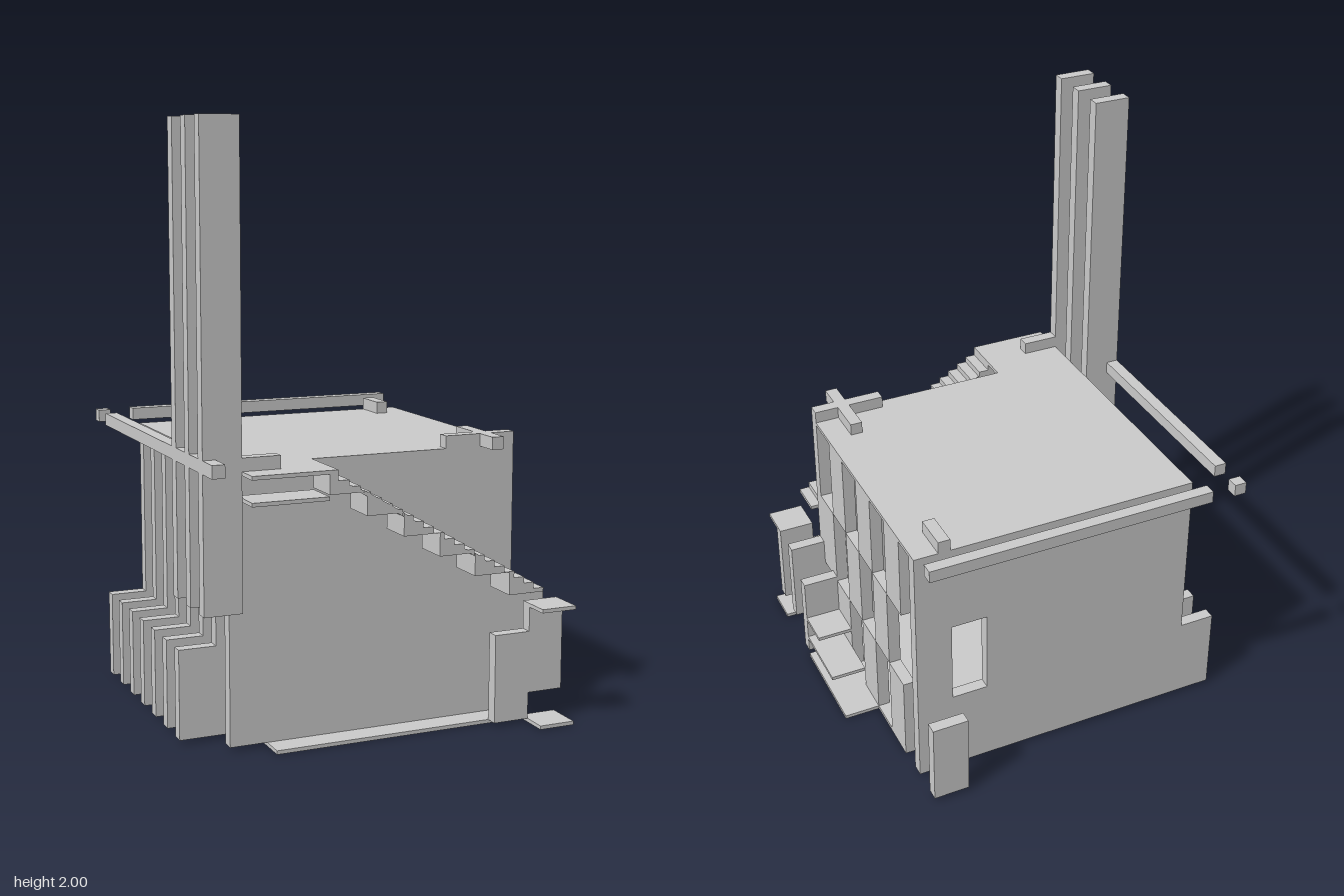
import * as THREE from 'three';

const M = 0.127;      // planning module
const T = 0.0423;     // wall thickness
const S = 0.0127;     // slab thickness
const ROOF = 0.917;   // underside of roof slab
const ROW = (ROOF - S) / 3;

export function createModel() {
  const group = new THREE.Group();
  const mat = new THREE.MeshStandardMaterial({ color: 0xcccccc, flatShading: true });

  // axis-aligned block given by its limits
  const block = (name, x0, x1, y0, y1, z0, z1) => {
    const mesh = new THREE.Mesh(new THREE.BoxGeometry(x1 - x0, y1 - y0, z1 - z0), mat);
    mesh.position.set((x0 + x1) / 2, (y0 + y1) / 2, (z0 + z1) / 2);
    mesh.name = name;
    group.add(mesh);
  };

  // outline in x/y pushed along z
  const extrude = (name, points, z0, z1, hole) => {
    const toV = (p) => new THREE.Vector2(p[0], p[1]);
    const shape = new THREE.Shape(points.map(toV));
    if (hole) shape.holes.push(new THREE.Path(hole.map(toV)));
    const geo = new THREE.ExtrudeGeometry(shape, { depth: z1 - z0, bevelEnabled: false });
    geo.translate(0, 0, z0);
    const mesh = new THREE.Mesh(geo, mat);
    mesh.name = name;
    group.add(mesh);
  };

  // floor and roof slabs
  block('floorSlab', -3 * M, 4 * M, 0, S, -3 * M, 4 * M);
  block('cornerPaving', 4 * M, 5 * M, 0, S, 4 * M, 5 * M);
  block('entrancePaving', 4 * M, 5 * M, 0, S, -M, 2 * M);
  block('roofSlab', -4 * M, 4 * M, ROOF, ROOF + S, -4 * M, 3 * M + T);

  // front wall, and back wall with a slot window and a low extension
  block('frontWall', -4 * M, 4 * M, S, ROOF, 3 * M, 3 * M + T);
  extrude('backWall', [
    [-5 * M, S], [4 * M, S], [4 * M, ROOF], [-4 * M, ROOF], [-4 * M, S + ROW], [-5 * M, S + ROW],
  ], -4 * M, -4 * M + T, [
    [2 * M, S + ROW], [2 * M, S + 2 * ROW], [3 * M, S + 2 * ROW], [3 * M, S + ROW],
  ]);
  block('backScreen', 3 * M, 4 * M, S, S + ROW, -5 * M, -5 * M + T);

  // stepped fins along the left-hand side of the plan
  for (let i = -3; i <= 2; i++) {
    extrude('sideFin', [
      [-5 * M, S], [-3 * M, S], [-3 * M, ROOF], [-4 * M, ROOF], [-4 * M, S + ROW], [-5 * M, S + ROW],
    ], i * M, i * M + T);
  }

  // three tall tower blades
  for (let i = 2; i <= 4; i++) block('towerBlade', -5 * M, -4 * M, 0.485, 2, i * M, i * M + T);

  // staggered screen panels on the opposite side
  for (let row = 0; row < 3; row++) {
    for (let k = 0; k < 3; k++) {
      const z = (1 - 2 * k + (row % 2)) * M;
      block('screenPanel', 4 * M - T, 4 * M, S + row * ROW, S + (row + 1) * ROW, z, z + M);
    }
  }

  // entrance steps and their screens
  block('lowerStep', 4 * M, 5 * M, 0.08, 0.08 + S, 0, 2 * M);
  block('upperStep', 4 * M, 5 * M, 0.168, 0.168 + S, M, 2 * M);
  block('stepScreen', 4 * M, 5 * M, 0.028, 0.332, 2 * M, 2 * M + T);
  block('porchScreen', 4 * M, 5 * M, 0.103, 0.408, 3 * M, 3 * M + T);
  block('porchScreen', 4 * M, 5 * M, 0.103, 0.397, 4 * M, 4 * M + T);
  block('frontScreen', 3 * M, 4 * M, S, S + ROW, 4 * M, 4 * M + T);
  block('porchRoof', 4 * M, 5 * M, 0.397, 0.397 + S, 4 * M, 5 * M);

  // front staircase: fine treads above, coarse stepped soffit below
  const steps = 20, x0 = -0.225, run = (4 * M - x0) / steps, rise = 0.0216;
  const outline = [[-2 * M, 0.853], [-2 * M, ROOF]];
  for (let i = 0; i < steps; i++) {
    const y = ROOF - i * rise;
    outline.push([x0 + i * run, y], [x0 + i * run, y - rise * 0.98], [x0 + (i + 1) * run, y - rise * 0.98]);
  }
  for (let j = 5; j >= 0; j--) {
    const y = 0.853 - j * 0.0762;
    outline.push([(j - 1) * M, y], [(j - 2) * M, y]);
  }
  outline.pop();
  extrude('staircase', outline, 4 * M, 5 * M);

  // landing slabs at the top of the stair
  block('landingTop', -4 * M, x0, ROOF, ROOF + S, 3 * M + T, 5 * M);
  block('landingUnderside', -4 * M, -2 * M, 0.835, 0.835 + S, 4 * M, 5 * M);

  // roof-level beams
  const b0 = ROOF + S, b1 = b0 + T;
  block('sideBeam', -5 * M, -5 * M + T, b0, b1, -4 * M, 5 * M);
  block('backBeam', -4 * M, 4 * M, b0, b1, -5 * M, -5 * M + T);
  block('cornerBlock', -5 * M, -5 * M + T, b0, b1, -5 * M, -5 * M + T);
  block('frontBeamStub', -4 * M, -3 * M, b0, b1, 4 * M, 4 * M + T);
  block('backBeamStub', 3 * M, 3 * M + T, b0, b1, -4 * M, -3 * M);
  block('crossBeamLong', 2 * M, 4 * M, b0, b1, 3 * M, 3 * M + T);
  block('crossBeamArm', 3 * M, 3 * M + T, b0, b1, 2 * M, 3 * M);
  block('crossBeamArm', 3 * M, 3 * M + T, b0, b1, 3 * M + T, 4 * M);

  return group;
}
